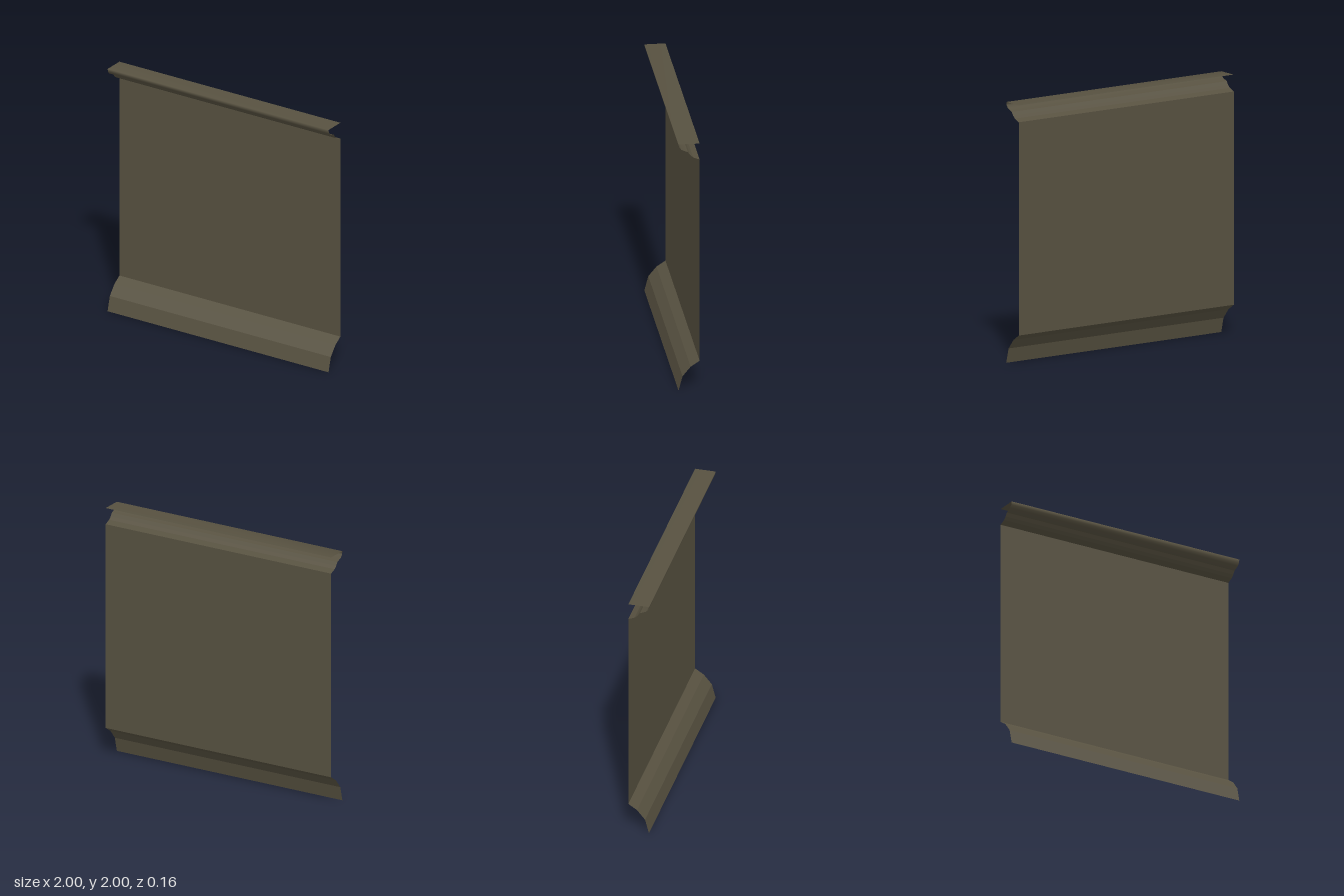
import * as THREE from 'three';

const HALF_WIDTH = 1;

// Open sheet: a [z, y] profile, listed top to bottom, swept along x
function sheet(name, profile, material, smooth) {
  const positions = [];
  const index = [];
  profile.forEach(([z, y], i) => {
    positions.push(-HALF_WIDTH, y, z, HALF_WIDTH, y, z);
    if (i === 0) return;
    const a = 2 * (i - 1), d = a + 1, b = a + 2, c = a + 3;
    index.push(a, b, c, a, c, d);
  });
  let geometry = new THREE.BufferGeometry();
  geometry.setAttribute('position', new THREE.Float32BufferAttribute(positions, 3));
  geometry.setIndex(index);
  if (!smooth) geometry = geometry.toNonIndexed();
  geometry.computeVertexNormals();
  const mesh = new THREE.Mesh(geometry, material);
  mesh.name = name;
  return mesh;
}

export function createModel() {
  const group = new THREE.Group();
  group.name = 'mouldedWallPanel';
  const paint = new THREE.MeshStandardMaterial({ color: 0x575140, side: THREE.DoubleSide });
  paint.name = 'darkOlivePaint';

  // Flat ledge with a rounded nose turning under
  group.add(sheet('topLedge', [
    [-0.08, 2], [0.08, 2], [0.075, 1.975], [0.058, 1.955], [0.01, 1.935],
  ], paint, true));

  // Cove from the ledge back to the wall
  group.add(sheet('cornice', [
    [0.01, 1.935], [-0.008, 1.91], [-0.03, 1.89], [-0.08, 1.87],
  ], paint, false));

  // Main flat panel
  group.add(sheet('wall', [[-0.08, 1.87], [-0.08, 0.235]], paint, false));

  // Faceted skirting flaring forward to the floor
  group.add(sheet('skirting', [
    [-0.08, 0.235], [-0.012, 0.19], [0.05, 0.115], [0.08, 0],
  ], paint, false));

  return group;
}
